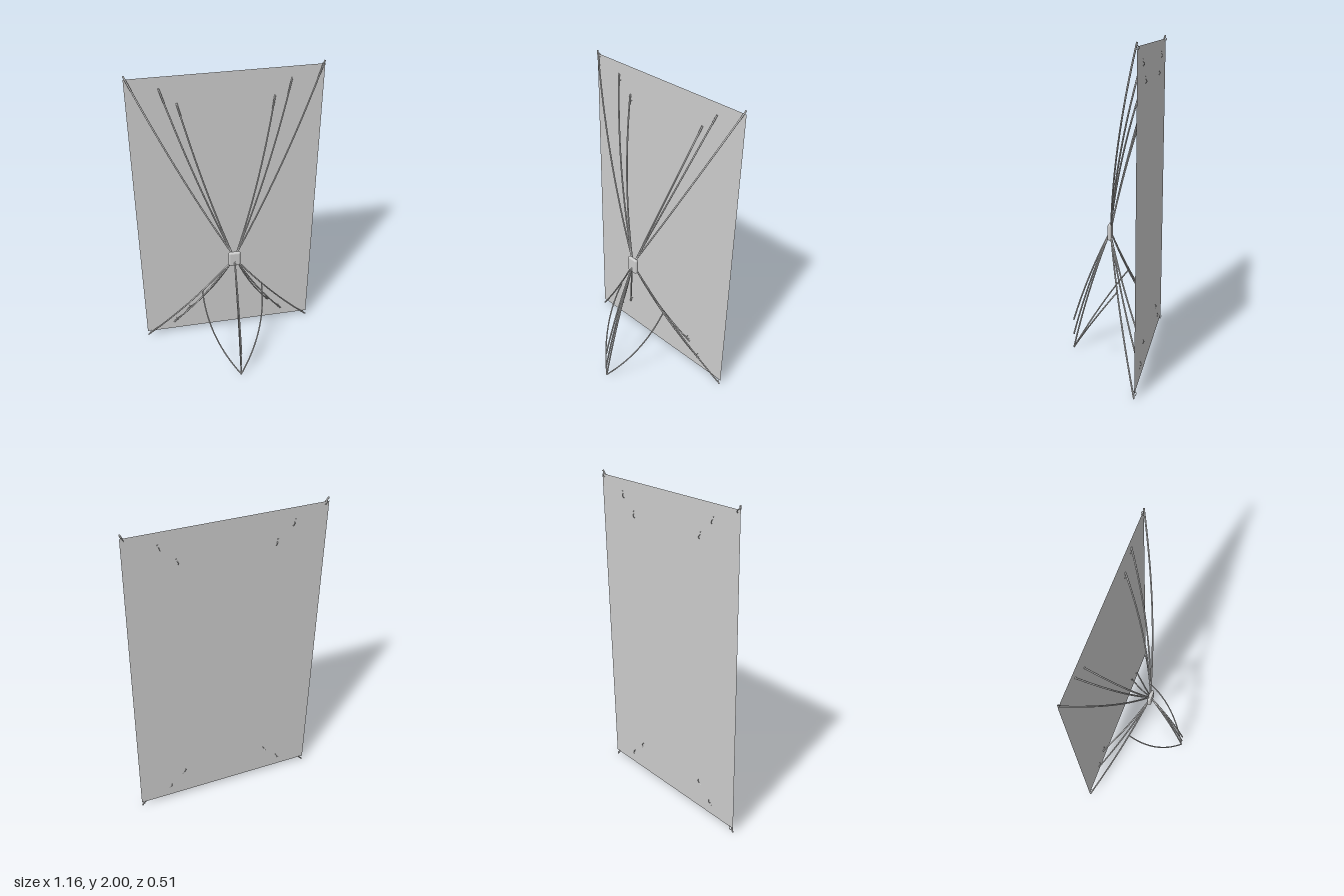
import * as THREE from 'three';
import { RoundedBoxGeometry } from 'three/addons/geometries/RoundedBoxGeometry.js';

const material = new THREE.MeshStandardMaterial({ color: 0xcccccc });
const sheetMaterial = new THREE.MeshStandardMaterial({ color: 0xcccccc, side: THREE.DoubleSide });

const V = (x, y, z) => new THREE.Vector3(x, y, z);

// Round capped rod through start and end, bowed by an offset at its middle
function makeRod(name, start, end, bow, radius = 0.005) {
  const control = start.clone().lerp(end, 0.5).addScaledVector(bow, 2);
  const curve = new THREE.QuadraticBezierCurve3(start, control, end);
  const group = new THREE.Group();
  group.name = name;
  group.add(new THREE.Mesh(new THREE.TubeGeometry(curve, 24, radius, 8), material));
  for (const [t, sign] of [[0, -1], [1, 1]]) {
    const cap = new THREE.Mesh(new THREE.CircleGeometry(radius, 8), material);
    cap.position.copy(curve.getPoint(t));
    cap.quaternion.setFromUnitVectors(V(0, 0, 1), curve.getTangent(t).multiplyScalar(sign));
    group.add(cap);
  }
  return group;
}

// Small half ring behind a rod tip, lying along the rod and bulging to the back
function makeHook(tip, hubPoint) {
  const along = V(tip.x - hubPoint.x, tip.y - hubPoint.y, 0).normalize();
  const back = V(0, 0, -1);
  const hook = new THREE.Mesh(new THREE.TorusGeometry(0.012, 0.002, 6, 14, Math.PI * 1.15), material);
  hook.name = 'bannerHook';
  hook.quaternion.setFromRotationMatrix(
    new THREE.Matrix4().makeBasis(along, back, along.clone().cross(back)));
  hook.position.copy(tip).addScaledVector(along, -0.03);
  hook.position.z = -0.243;
  return hook;
}

export function createModel() {
  const model = new THREE.Group();
  model.name = 'bannerStand';

  // Thin banner sheet
  const banner = new THREE.Mesh(new THREE.PlaneGeometry(1.16, 1.94), sheetMaterial);
  banner.name = 'banner';
  banner.position.set(0, 1.005, -0.247);
  model.add(banner);

  // Central hub, its sides swept gently backwards
  const hubGeometry = new RoundedBoxGeometry(0.08, 0.105, 0.024, 3, 0.011);
  const p = hubGeometry.attributes.position;
  for (let i = 0; i < p.count; i++) {
    const x = p.getX(i), y = p.getY(i);
    p.setX(i, x * (1 - 30 * y * y));
    p.setZ(i, p.getZ(i) - 3 * x * x);
  }
  hubGeometry.computeVertexNormals();
  const hub = new THREE.Mesh(hubGeometry, material);
  hub.name = 'hub';
  hub.position.set(0, 0.817, 0.009);
  model.add(hub);

  // Three telescopic reaches per arm: half width and distance in from the end
  const reaches = [[0.577, 0.004], [0.388, 0.095], [0.29, 0.195]];

  for (const side of [1, -1]) {
    for (const [x, inset] of reaches) {
      const upperStart = V(side * 0.012, 0.85, 0);
      const upperTip = V(side * x, 2 - inset, -0.245);
      model.add(makeRod('upperArm', upperStart, upperTip, V(side * 0.012, -0.005, 0.025)));
      model.add(makeHook(upperTip, upperStart));

      const lowerStart = V(side * 0.015, 0.795, 0);
      const lowerTip = V(side * x, inset, -0.245);
      model.add(makeRod('lowerArm', lowerStart, lowerTip, V(side * -0.014, -0.006, 0.014)));
      model.add(makeHook(lowerTip, lowerStart));
    }
    // Bowed brace from the lower arm to the front foot
    model.add(makeRod('brace', V(side * 0.2, 0.5, -0.078), V(0, 0.008, 0.25),
      V(side * 0.05, 0, 0.012), 0.0045));
  }

  // Front leg reaches
  for (const [, inset] of reaches) {
    model.add(makeRod('frontLeg', V(0, 0.81, 0.01), V(0, inset + 0.006, 0.25), V(0, 0.008, 0.012)));
  }
  return model;
}
